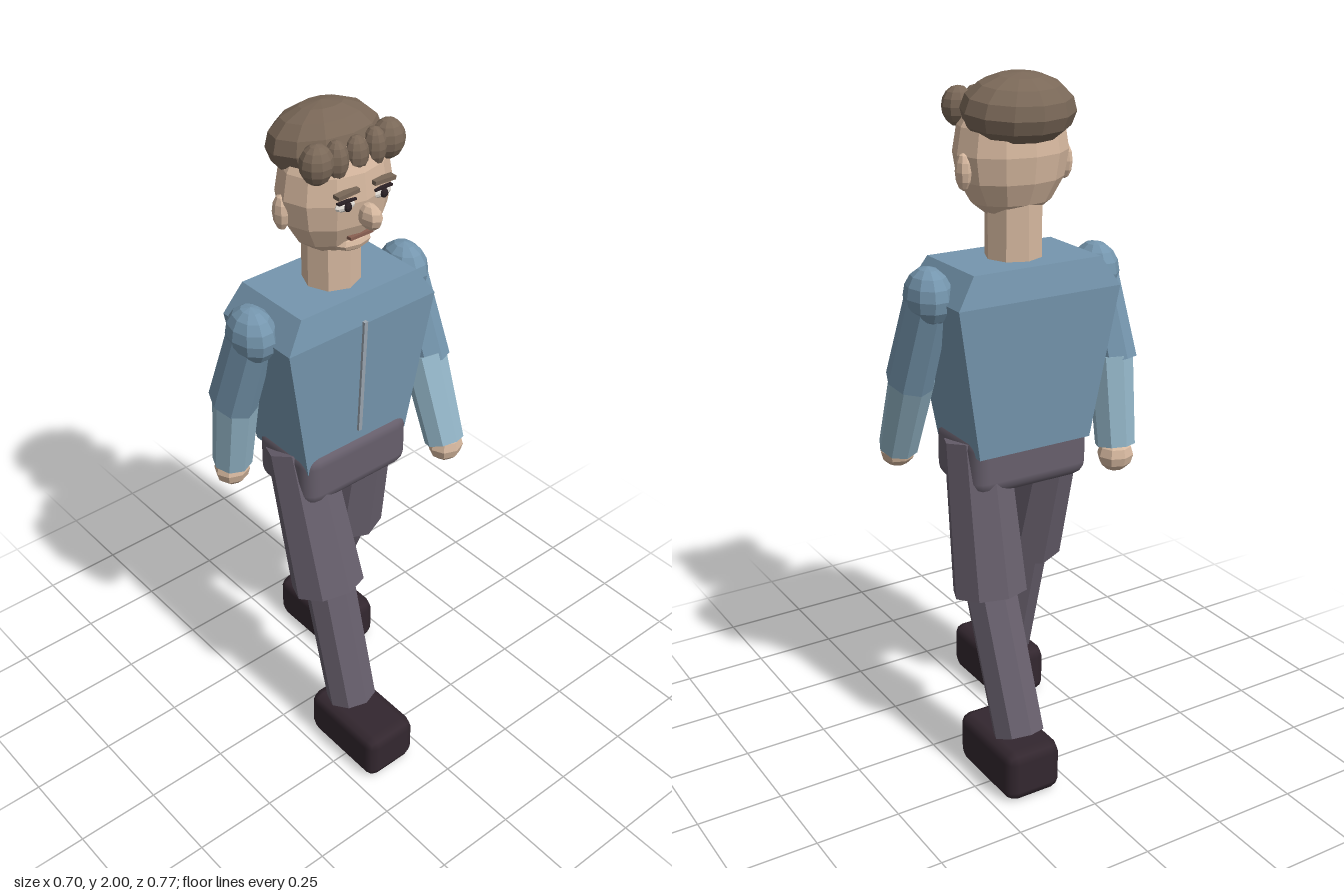
import * as THREE from 'three';
import { RoundedBoxGeometry } from 'three/addons/geometries/RoundedBoxGeometry.js';

const mat = (name, color) => {
  const m = new THREE.MeshStandardMaterial({ color });
  m.name = name;
  return m;
};

export function createModel() {
  const model = new THREE.Group();
  model.name = 'walkingMan';

  const skin = mat('skin', 0xd6b89f);
  const hair = mat('hair', 0x7a6858);
  const shirt = mat('shirt', 0x7596ae);
  const cuff = mat('lowerSleeve', 0x93b5c7);
  const trousers = mat('trousers', 0x675f6c);
  const shoe = mat('shoe', 0x33272f);
  const white = mat('eyeWhite', 0xe6e0d8);
  const dark = mat('pupil', 0x2a2024);
  const lip = mat('lip', 0x8a6052);
  const zip = mat('zip', 0x9ba6b0);

  // Faceted copy of a geometry
  const flat = (g) => {
    const f = g.index ? g.toNonIndexed() : g;
    f.computeVertexNormals();
    return f;
  };
  const add = (name, geo, material, x = 0, y = 0, z = 0) => {
    const m = new THREE.Mesh(geo, material);
    m.name = name;
    m.position.set(x, y, z);
    model.add(m);
    return m;
  };
  const ball = (name, material, [x, y, z], [rx, ry, rz], w = 10, h = 8) =>
    add(name, flat(new THREE.SphereGeometry(1, w, h).scale(rx, ry, rz)), material, x, y, z);
  const box = (name, material, [x, y, z], [w, h, d]) =>
    add(name, new THREE.BoxGeometry(w, h, d), material, x, y, z);

  // Eight-sided limb from a (top) to b (bottom)
  const limb = (name, material, a, b, rTop, rBottom, widthScale = 1) => {
    const top = new THREE.Vector3(...a);
    const bottom = new THREE.Vector3(...b);
    const axis = top.clone().sub(bottom);
    const g = flat(new THREE.CylinderGeometry(rTop, rBottom, axis.length(), 8).scale(widthScale, 1, 1));
    const m = add(name, g, material);
    m.position.copy(top).add(bottom).multiplyScalar(0.5);
    m.quaternion.setFromUnitVectors(new THREE.Vector3(0, 1, 0), axis.normalize());
    return m;
  };

  // Torso: tapered box with sloped shoulders, as stacked rectangles [y, half width, half depth]
  const rings = [[0.98, 0.18, 0.118], [1.42, 0.255, 0.143], [1.505, 0.2, 0.126]];
  const pos = rings.flatMap(([y, w, d]) => [-w, y, d, w, y, d, w, y, -d, -w, y, -d]);
  const idx = [8, 9, 10, 8, 10, 11, 0, 2, 1, 0, 3, 2];
  for (let r = 0; r < 2; r++) {
    for (let i = 0; i < 4; i++) {
      const a = r * 4 + i;
      const b = r * 4 + ((i + 1) % 4);
      idx.push(a, b, b + 4, a, b + 4, a + 4);
    }
  }
  const torso = new THREE.BufferGeometry();
  torso.setAttribute('position', new THREE.Float32BufferAttribute(pos, 3));
  torso.setIndex(idx);
  add('torso', flat(torso), shirt, 0, 0, -0.055);
  box('zip', zip, [0, 1.245, 0.08], [0.012, 0.37, 0.012]).rotation.x = 0.057;

  // Pelvis
  add('pelvis', new RoundedBoxGeometry(0.38, 0.185, 0.245, 2, 0.045), trousers, 0, 0.9475, -0.045);

  // Neck and head
  add('neck', flat(new THREE.CylinderGeometry(0.08, 0.08, 0.17, 8)), skin, 0, 1.575, -0.05);
  ball('head', skin, [0, 1.79, -0.037], [0.165, 0.188, 0.13], 12, 8);
  ball('nose', skin, [0, 1.75, 0.103], [0.025, 0.036, 0.045], 8, 6);
  ball('chin', skin, [0, 1.655, 0.035], [0.06, 0.025, 0.035], 8, 6);
  box('mouth', lip, [0, 1.684, 0.066], [0.075, 0.009, 0.02]);
  for (const s of [-1, 1]) {
    ball('ear', skin, [s * 0.158, 1.75, -0.057], [0.02, 0.05, 0.028], 8, 6);
    ball('eye', white, [s * 0.06, 1.79, 0.079], [0.033, 0.015, 0.012], 10, 6);
    ball('pupil', dark, [s * 0.06, 1.79, 0.09], [0.012, 0.013, 0.009], 8, 6);
    box('eyelid', dark, [s * 0.06, 1.804, 0.085], [0.058, 0.005, 0.012]);
    box('eyebrow', hair, [s * 0.06, 1.826, 0.085], [0.069, 0.011, 0.022]).rotation.z = -s * 0.05;
  }

  // Hair with curls along the forehead
  ball('hair', hair, [0, 1.902, -0.075], [0.163, 0.098, 0.13], 12, 8).rotation.x = -0.12;
  for (const s of [-1, 1]) {
    ball('outerCurl', hair, [s * 0.117, 1.905, 0.038], [0.046, 0.054, 0.044]);
    ball('innerCurl', hair, [s * 0.062, 1.902, 0.047], [0.032, 0.054, 0.034]);
  }
  ball('middleCurl', hair, [0, 1.902, 0.05], [0.034, 0.05, 0.032]);

  // Arms: left swings forward, right swings back
  const arms = [
    { s: 1, elbow: [1.168, 0.035], wrist: [0.935, 0.142], hand: [0.925, 0.147] },
    { s: -1, elbow: [1.18, -0.135], wrist: [0.94, -0.177], hand: [0.91, -0.18] },
  ];
  for (const { s, elbow, wrist, hand } of arms) {
    const side = s > 0 ? 'left' : 'right';
    ball(side + 'Shoulder', shirt, [s * 0.268, 1.43, -0.056], [0.063, 0.082, 0.082], 10, 8);
    limb(side + 'UpperArm', shirt, [s * 0.268, 1.43, -0.056], [s * 0.283, ...elbow], 0.07, 0.075, 0.87);
    limb(side + 'Forearm', cuff, [s * 0.272, elbow[0] + 0.02, elbow[1]], [s * 0.268, ...wrist], 0.066, 0.058);
    ball(side + 'Hand', skin, [s * 0.268, ...hand], [0.054, 0.05, 0.05], 8, 6);
  }

  // Legs: left trails, right leads
  const legs = [
    { s: 1, knee: [0.553, -0.13], ankle: [0.165, -0.288], foot: -0.2375 },
    { s: -1, knee: [0.555, 0.078], ankle: [0.165, 0.187], foot: 0.2375 },
  ];
  for (const { s, knee, ankle, foot } of legs) {
    const side = s > 0 ? 'left' : 'right';
    limb(side + 'Thigh', trousers, [s * 0.125, 1.0, -0.055], [s * 0.125, ...knee], 0.09, 0.106, 1.05);
    limb(side + 'Shin', trousers, [s * 0.125, knee[0] + 0.02, knee[1] + 0.003], [s * 0.125, ...ankle], 0.076, 0.075);
    add(side + 'Shoe', new RoundedBoxGeometry(0.176, 0.155, 0.295, 1, 0.032), shoe, s * 0.125, 0.0775, foot);
  }

  return model;
}
